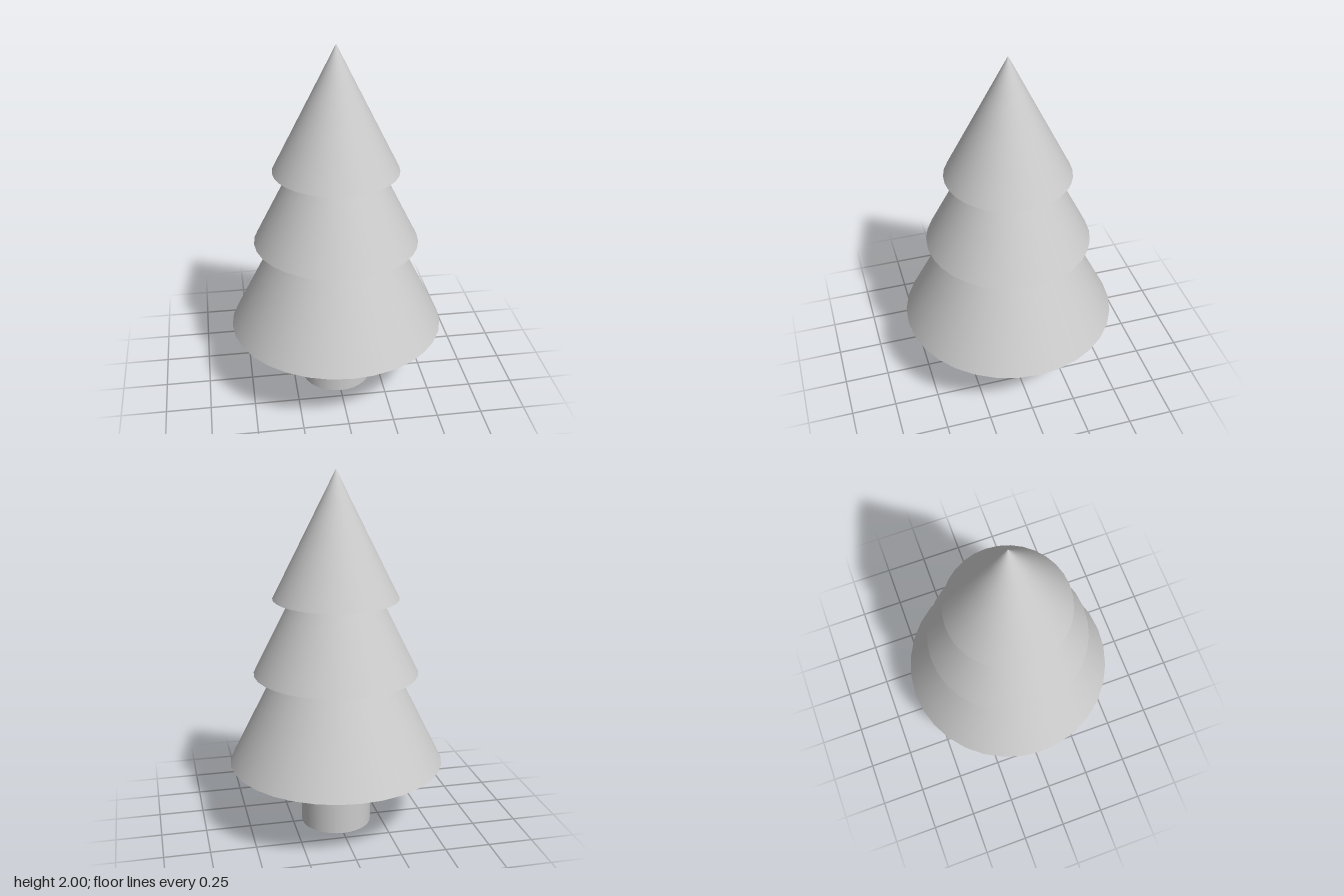
import * as THREE from 'three';

export function createModel() {
  const tree = new THREE.Group();
  tree.name = 'tree';
  const material = new THREE.MeshStandardMaterial({ color: 0xcccccc });
  const sides = 32;

  const add = (name, geometry, y) => {
    const mesh = new THREE.Mesh(geometry, material);
    mesh.name = name;
    mesh.position.y = y;
    tree.add(mesh);
  };

  // Trunk, standing on the ground and ending at the lowest foliage
  const trunkHeight = 0.378;
  add('trunk', new THREE.CylinderGeometry(0.198, 0.198, trunkHeight, sides), trunkHeight / 2);

  // Foliage: stacked closed cones, each twice as tall as its radius
  const tiers = [
    ['lowerFoliage', 0.598, 0.378],
    ['middleFoliage', 0.455, 0.894],
    ['upperFoliage', 0.344, 1.312],
  ];
  for (const [name, radius, base] of tiers) {
    const height = radius * 2;
    add(name, new THREE.ConeGeometry(radius, height, sides, 4), base + height / 2);
  }

  return tree;
}
